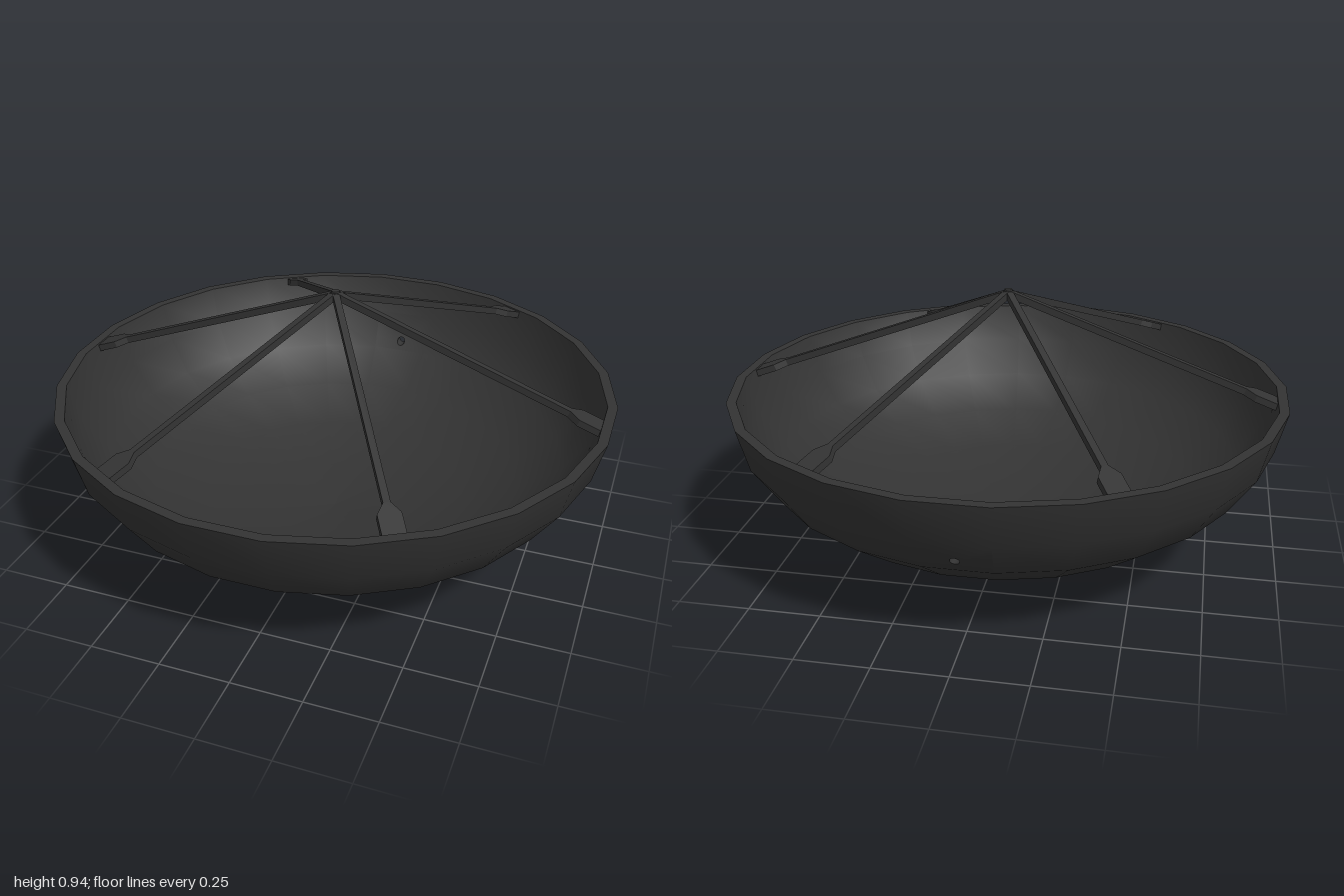
import * as THREE from 'three';

const SIDES = 24;
const HOLE = { y: 0.345, r: 0.016, steps: 16 };
const material = new THREE.MeshStandardMaterial({ color: 0x333333 });
const thin = new THREE.MeshStandardMaterial({ color: 0x333333, side: THREE.DoubleSide });

// Radius and height pairs, bottom to rim
const OUTER = [[0, 0], [0.257, 0.025], [0.505, 0.085], [0.711, 0.175], [0.873, 0.295], [0.969, 0.435], [1.009, 0.588]];
const INNER = [[0, 0.035], [0.248, 0.058], [0.487, 0.115], [0.686, 0.2], [0.842, 0.313], [0.935, 0.445], [0.974, 0.588]];

function add(parent, name, geometry, mat = material) {
  const mesh = new THREE.Mesh(geometry, mat);
  mesh.name = name;
  parent.add(mesh);
  return mesh;
}

// Lathe with a flat side, not a corner, facing front and back
function lathe(profile) {
  const points = profile.map(([r, y]) => new THREE.Vector2(r, y));
  return new THREE.LatheGeometry(points, SIDES, Math.PI / SIDES, Math.PI * 2);
}

function surface(positions, normals, index) {
  const g = new THREE.BufferGeometry();
  g.setAttribute('position', new THREE.Float32BufferAttribute(positions, 3));
  if (normals) g.setAttribute('normal', new THREE.Float32BufferAttribute(normals, 3));
  g.setIndex(index);
  if (!normals) g.computeVertexNormals();
  return g;
}

// Swaps the rear panel in the given row for one with a round hole; returns the hole's edge
function pierce(parent, name, geometry, rows, row) {
  const segment = SIDES / 2 - 1;
  const index = Array.from(geometry.index.array);
  index.splice((segment * (rows - 1) + row) * 6, 6);
  geometry.setIndex(index);

  const a = segment * rows + row;
  const corners = [a, a + rows, a + rows + 1, a + 1];
  const read = (key) => corners.map((i) => new THREE.Vector3().fromBufferAttribute(geometry.attributes[key], i));
  const P = read('position'), N = read('normal');
  const blend = (c, u, v) => c[0].clone().lerp(c[1], u).lerp(c[3].clone().lerp(c[2], u), v);

  const height = P[3].y - P[0].y;
  const v0 = (HOLE.y - P[0].y) / height;
  const width = P[0].distanceTo(P[1]) * (1 - v0) + P[3].distanceTo(P[2]) * v0;
  const positions = [], normals = [], faces = [], edge = [];
  const push = (u, v) => {
    const p = blend(P, u, v);
    positions.push(...p.toArray());
    normals.push(...blend(N, u, v).normalize().toArray());
    return p;
  };
  const n = HOLE.steps;
  for (let k = 0; k < n; k++) {
    const c = Math.cos(k * 2 * Math.PI / n), s = Math.sin(k * 2 * Math.PI / n);
    const m = 2 * Math.max(Math.abs(c), Math.abs(s));
    push(0.5 + c / m, 0.5 + s / m);
    edge.push(push(0.5 + HOLE.r * c / width, v0 + HOLE.r * s / Math.abs(height)));
    const o = 2 * k, next = 2 * ((k + 1) % n);
    faces.push(o, next, o + 1, o + 1, next, next + 1);
  }
  add(parent, name, surface(positions, normals, faces));
  return edge;
}

// Flat bar from the apex, widening to a paddle that rests on the rim
function strutGeometry(length) {
  const w = 0.012, pad = 0.038;
  const half = [[0, w], [length - 0.125, w], [length - 0.085, pad], [length, pad]];
  const outline = [...half, ...half.map(([x, y]) => [x, -y]).reverse()];
  const shape = new THREE.Shape(outline.map(([x, y]) => new THREE.Vector2(x, y)));
  return new THREE.ExtrudeGeometry(shape, { depth: 0.025, bevelEnabled: false })
    .translate(0, 0, -0.0125)
    .rotateX(-Math.PI / 2);
}

export function createModel() {
  const model = new THREE.Group();
  model.name = 'bowlWithStruts';

  // Bowl shell with drain hole at the back
  const bowl = new THREE.Group();
  bowl.name = 'bowl';
  model.add(bowl);
  const outside = lathe(OUTER), inside = lathe([...INNER].reverse());
  const outerEdge = pierce(bowl, 'outerHolePanel', outside, OUTER.length, 4);
  const innerEdge = pierce(bowl, 'innerHolePanel', inside, INNER.length, 1);
  add(bowl, 'bowlOutside', outside);
  add(bowl, 'bowlInside', inside);
  add(bowl, 'rim', lathe([OUTER.at(-1), INNER.at(-1)]));

  // Wall of the drain hole, joining both edges
  const n = HOLE.steps, wall = [], faces = [];
  for (let k = 0; k < n; k++) {
    wall.push(...outerEdge[k].toArray(), ...innerEdge[(n - k) % n].toArray());
    const o = 2 * k, next = 2 * ((k + 1) % n);
    faces.push(o, next, next + 1, o, next + 1, o + 1);
  }
  add(bowl, 'drainHoleWall', surface(wall, null, faces), thin);

  // Six sloping struts meeting above the middle
  const reach = 0.967, apex = 0.925, drop = 0.356;
  const geometry = strutGeometry(Math.hypot(reach, drop));
  for (let i = 0; i < 6; i++) {
    const arm = new THREE.Group();
    arm.name = 'strutArm';
    arm.rotation.y = i * Math.PI / 3;
    const strut = add(arm, 'strut', geometry);
    strut.position.y = apex;
    strut.rotation.z = -Math.atan2(drop, reach);
    model.add(arm);
  }

  // Small hub where the struts meet
  add(model, 'apexHub', new THREE.CylinderGeometry(0.014, 0.018, 0.03, 12)).position.y = apex;

  return model;
}
